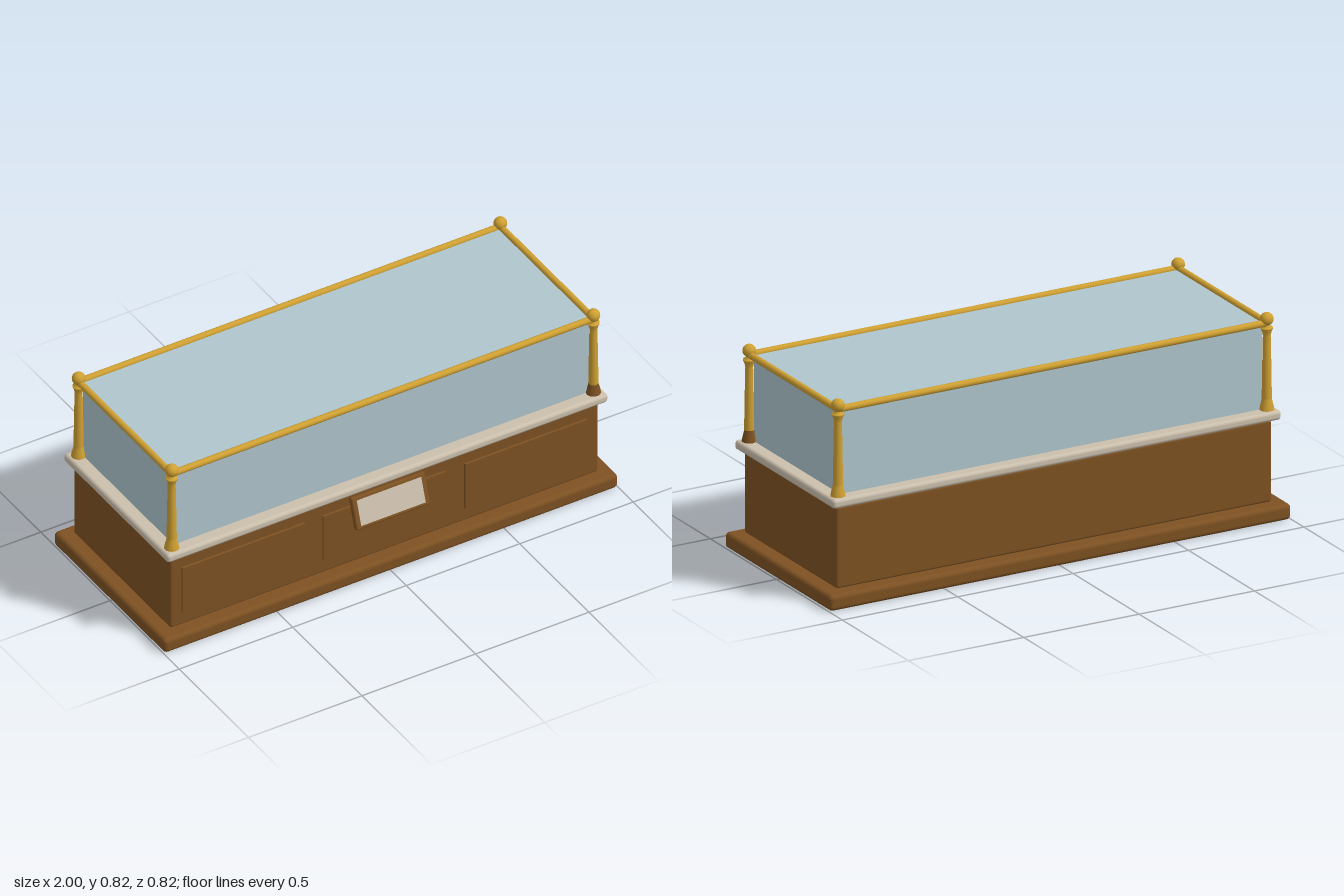
import * as THREE from 'three';
import { RoundedBoxGeometry } from 'three/addons/geometries/RoundedBoxGeometry.js';

const material = (name, color) => {
  const m = new THREE.MeshStandardMaterial({ color });
  m.name = name;
  return m;
};

export function createModel() {
  const wood = material('brown wood', 0x7d5122);
  const stone = material('cream stone', 0xcbbfac);
  const glass = material('pale blue glass', 0xaec5cc);
  const brass = material('brass', 0xcfa032);

  const model = new THREE.Group();
  model.name = 'displayCase';
  const ZC = -0.007; // case centre in depth

  const add = (name, geometry, mat, x, y, z, parent = model) => {
    const mesh = new THREE.Mesh(geometry, mat);
    mesh.name = name;
    mesh.position.set(x, y, z);
    parent.add(mesh);
    return mesh;
  };
  const rounded = (w, h, d, r) => new RoundedBoxGeometry(w, h, d, 3, r);

  // Stacked base: plinth, cabinet and countertop
  add('plinth', rounded(2, 0.064, 0.806, 0.018), wood, 0, 0.035, ZC);
  add('cabinet', rounded(1.886, 0.328, 0.7, 0.01), wood, 0, 0.233, ZC);
  add('countertop', rounded(1.942, 0.038, 0.756, 0.014), stone, 0, 0.42, ZC);

  // Three raised panels on the front
  for (const x of [-0.625, -0.004, 0.621]) {
    add('frontPanel', new THREE.BoxGeometry(0.54, 0.21, 0.014), wood, x, 0.235, 0.346);
  }

  // Glass box
  add('glassBox', new THREE.BoxGeometry(1.83, 0.347, 0.652), glass, 0, 0.6115, ZC);

  // Turned corner posts with ball finials; one has a wooden foot
  const foot = [[0.029, 0.438], [0.027, 0.45], [0.021, 0.475], [0.0195, 0.485]];
  const shaft = [[0.0195, 0.485], [0.019, 0.52], [0.016, 0.7], [0.015, 0.735],
    [0.018, 0.752], [0.024, 0.764], [0.024, 0.769], [0.012, 0.772], [0.012, 0.785]];
  const lathe = (pts) => new THREE.LatheGeometry(pts.map(([r, y]) => new THREE.Vector2(r, y)), 20);
  const footGeo = lathe(foot);
  const shaftGeo = lathe(shaft);
  const ballGeo = new THREE.SphereGeometry(0.026, 20, 14);
  const PX = 0.929, PZ = 0.336;
  for (const sx of [-1, 1]) {
    for (const sz of [-1, 1]) {
      const post = new THREE.Group();
      post.name = 'cornerPost';
      post.position.set(sx * PX, 0, ZC + sz * PZ);
      model.add(post);
      add('postFoot', footGeo, sx > 0 && sz > 0 ? wood : brass, 0, 0, 0, post);
      add('postShaft', shaftGeo, brass, 0, 0, 0, post);
      add('finial', ballGeo, brass, 0, 0.802, 0, post);
    }
  }

  // Top rails between the posts
  for (const s of [-1, 1]) {
    const long = add('longRail', new THREE.CylinderGeometry(0.0135, 0.0135, PX * 2, 16), brass, 0, 0.786, ZC + s * PZ);
    long.rotation.z = Math.PI / 2;
    const short = add('shortRail', new THREE.CylinderGeometry(0.0135, 0.0135, PZ * 2, 16), brass, s * PX, 0.786, ZC);
    short.rotation.x = Math.PI / 2;
  }

  // Tilted sign: wooden frame with a blank cream plate
  const sign = new THREE.Group();
  sign.name = 'sign';
  sign.position.set(-0.002, 0.328, 0.382);
  sign.rotation.x = -0.32;
  model.add(sign);
  add('signFrame', rounded(0.325, 0.134, 0.025, 0.008), wood, 0, 0, 0, sign);
  add('signPlate', new THREE.BoxGeometry(0.284, 0.104, 0.004), stone, 0, 0, 0.0125, sign);

  return model;
}
